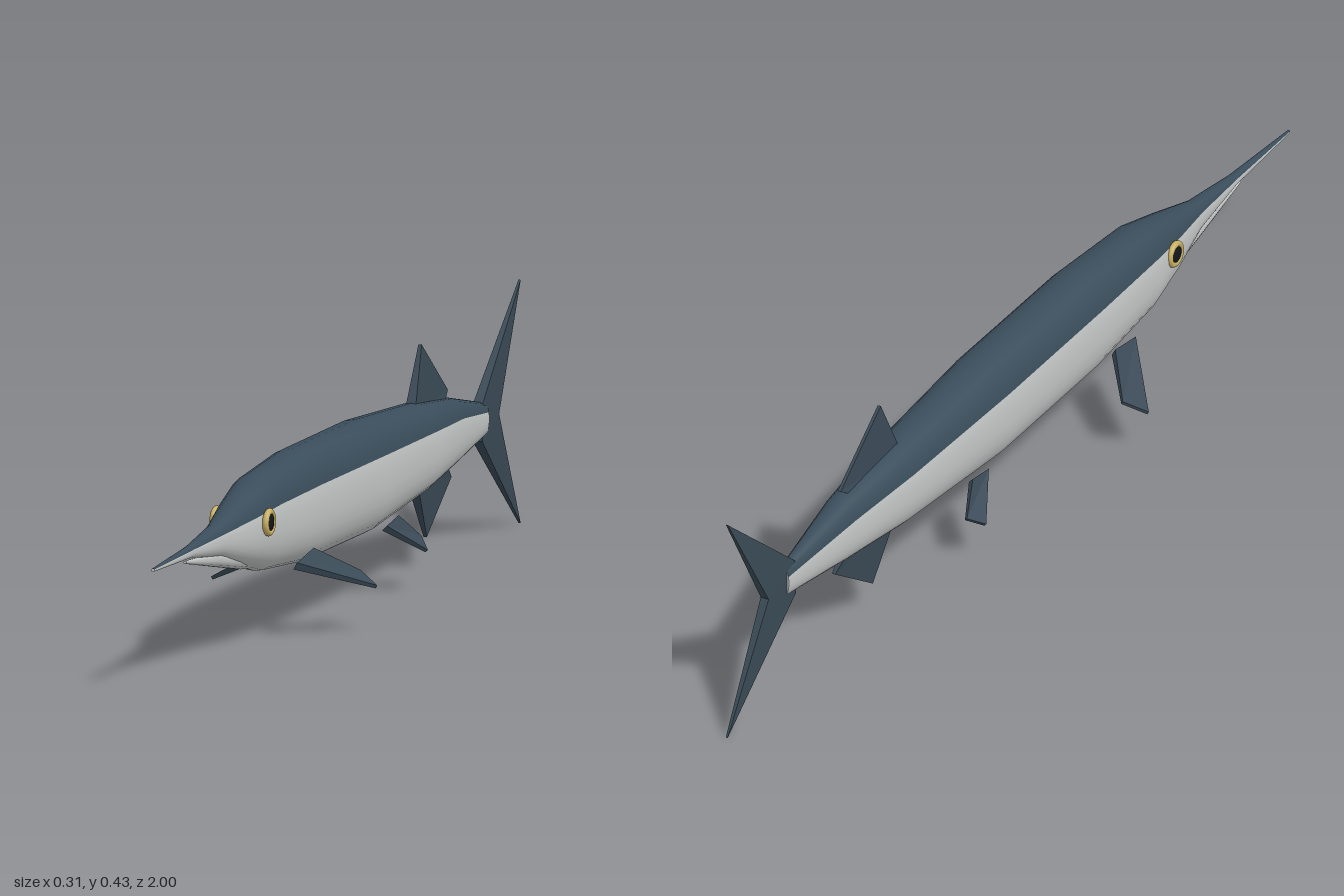
import * as THREE from 'three';

const mat = (name, color) => {
  const m = new THREE.MeshStandardMaterial({ color });
  m.name = name;
  return m;
};

// Loft of rounded cross-sections [z, top, bottom, halfWidth], front to back.
// Upper arc uses material group 0, lower arc group 1.
function loft(sections, split, nTop, nBottom) {
  const angles = [];
  for (let i = 0; i < nTop; i++) angles.push(split + (Math.PI - 2 * split) * i / nTop);
  for (let i = 0; i < nBottom; i++) angles.push(Math.PI - split + (Math.PI + 2 * split) * i / nBottom);
  const n = angles.length, pos = [], upper = [], lower = [];
  const soft = v => Math.sign(v) * Math.abs(v) ** 0.86;
  for (const [z, top, bottom, w] of sections)
    for (const a of angles)
      pos.push(w * soft(Math.cos(a)), (top + bottom) / 2 + (top - bottom) / 2 * soft(Math.sin(a)), z);
  for (let s = 0; s < sections.length - 1; s++)
    for (let k = 0; k < n; k++) {
      const a = s * n + k, b = s * n + (k + 1) % n;
      (k < nTop ? upper : lower).push(a, a + n, b, b, a + n, b + n);
    }
  // end caps, on their own vertices for a crisp edge
  for (const s of [0, sections.length - 1]) {
    const [z, top, bottom] = sections[s], base = pos.length / 3;
    pos.push(...pos.slice(s * n * 3, (s + 1) * n * 3), 0, (top + bottom) / 2, z);
    for (let k = 0; k < n; k++) {
      const a = base + k, b = base + (k + 1) % n;
      lower.push(base + n, ...(s === 0 ? [a, b] : [b, a]));
    }
  }
  const g = new THREE.BufferGeometry();
  g.setAttribute('position', new THREE.Float32BufferAttribute(pos, 3));
  g.setIndex([...upper, ...lower]);
  g.addGroup(0, upper.length, 0);
  g.addGroup(upper.length, lower.length, 1);
  g.computeVertexNormals();
  return g;
}

// Tapered plate from outline points [x, y, z, halfThickness], fanned from the first point.
function plate(points) {
  const p = points.map(q => new THREE.Vector3(q[0], q[1], q[2]));
  const normal = p[1].clone().sub(p[0]).cross(p[2].clone().sub(p[0])).normalize();
  const n = p.length, pos = [], index = [];
  for (const side of [1, -1])
    p.forEach((v, i) => pos.push(...v.clone().addScaledVector(normal, side * points[i][3]).toArray()));
  for (let i = 1; i < n - 1; i++) index.push(0, i, i + 1, n, n + i + 1, n + i);
  for (let i = 0; i < n; i++) {
    const j = (i + 1) % n;
    index.push(i, n + i, n + j, i, n + j, j);
  }
  const g = new THREE.BufferGeometry();
  g.setAttribute('position', new THREE.Float32BufferAttribute(pos, 3));
  g.setIndex(index);
  const flat = g.toNonIndexed();
  flat.computeVertexNormals();
  return flat;
}

export function createModel() {
  const model = new THREE.Group();
  model.name = 'fish';
  const back = mat('slate back', 0x3a4d5b);
  const belly = mat('silver belly', 0xc3c7c6);
  const fin = mat('dark fin', 0x3a4a56);
  const gold = mat('gold eye ring', 0xc9b062);
  const pupil = mat('black pupil', 0x12161a);
  const add = (name, geometry, material) => {
    const mesh = new THREE.Mesh(geometry, material);
    mesh.name = name;
    model.add(mesh);
    return mesh;
  };

  // body with long upper beak
  add('body', loft([
    [1, 0.221, 0.215, 0.003],
    [0.8, 0.232, 0.21, 0.01],
    [0.66, 0.25, 0.19, 0.021],
    [0.55, 0.28, 0.158, 0.041],
    [0.45, 0.305, 0.134, 0.055],
    [0.24, 0.32, 0.118, 0.064],
    [-0.1, 0.32, 0.117, 0.065],
    [-0.42, 0.302, 0.142, 0.053],
    [-0.6, 0.284, 0.162, 0.036],
    [-0.8, 0.245, 0.187, 0.012],
  ], 0.37, 10, 16), [back, belly]);

  // shorter lower jaw
  add('lowerJaw', loft([
    [0.825, 0.208, 0.203, 0.003],
    [0.67, 0.2, 0.174, 0.013],
    [0.54, 0.185, 0.15, 0.019],
    [0.43, 0.18, 0.136, 0.015],
  ], 0.37, 5, 7), [belly, belly]);

  // upright fins
  add('tailFin', plate([
    [0, 0.215, -0.865, 0.008], [0, 0.433, -1, 0.002], [0, 0.245, -0.77, 0.009],
    [0, 0.18, -0.77, 0.009], [0, 0, -1, 0.002],
  ]), fin);
  add('dorsalFin', plate([
    [0, 0.285, -0.4, 0.01], [0, 0.4, -0.457, 0.003],
    [0, 0.298, -0.6, 0.003], [0, 0.27, -0.555, 0.01],
  ]), fin);
  add('analFin', plate([
    [0, 0.16, -0.415, 0.01], [0, 0.053, -0.485, 0.003],
    [0, 0.14, -0.62, 0.003], [0, 0.175, -0.57, 0.01],
  ]), fin);

  // paired fins and eyes
  for (const [side, s] of [['left', 1], ['right', -1]]) {
    add(side + 'PectoralFin', plate([
      [s * 0.048, 0.132, 0.365, 0.007], [s * 0.153, 0.08, 0.23, 0.003],
      [s * 0.114, 0.102, 0.206, 0.003], [s * 0.052, 0.147, 0.285, 0.007],
    ]), fin);
    add(side + 'PelvicFin', plate([
      [s * 0.04, 0.122, -0.145, 0.006], [s * 0.088, 0.07, -0.235, 0.003],
      [s * 0.066, 0.09, -0.265, 0.003], [s * 0.042, 0.132, -0.205, 0.006],
    ]), fin);

    const eye = new THREE.Group();
    eye.name = side + 'Eye';
    const ring = new THREE.Mesh(new THREE.TorusGeometry(0.019, 0.006, 10, 28), gold);
    ring.name = 'eyeRing';
    const ball = new THREE.Mesh(new THREE.SphereGeometry(0.018, 20, 14), pupil);
    ball.name = 'pupil';
    ball.scale.z = 0.4;
    eye.add(ring, ball);
    eye.position.set(s * 0.049, 0.232, 0.51);
    eye.rotation.y = s * Math.PI / 2;
    model.add(eye);
  }
  return model;
}
